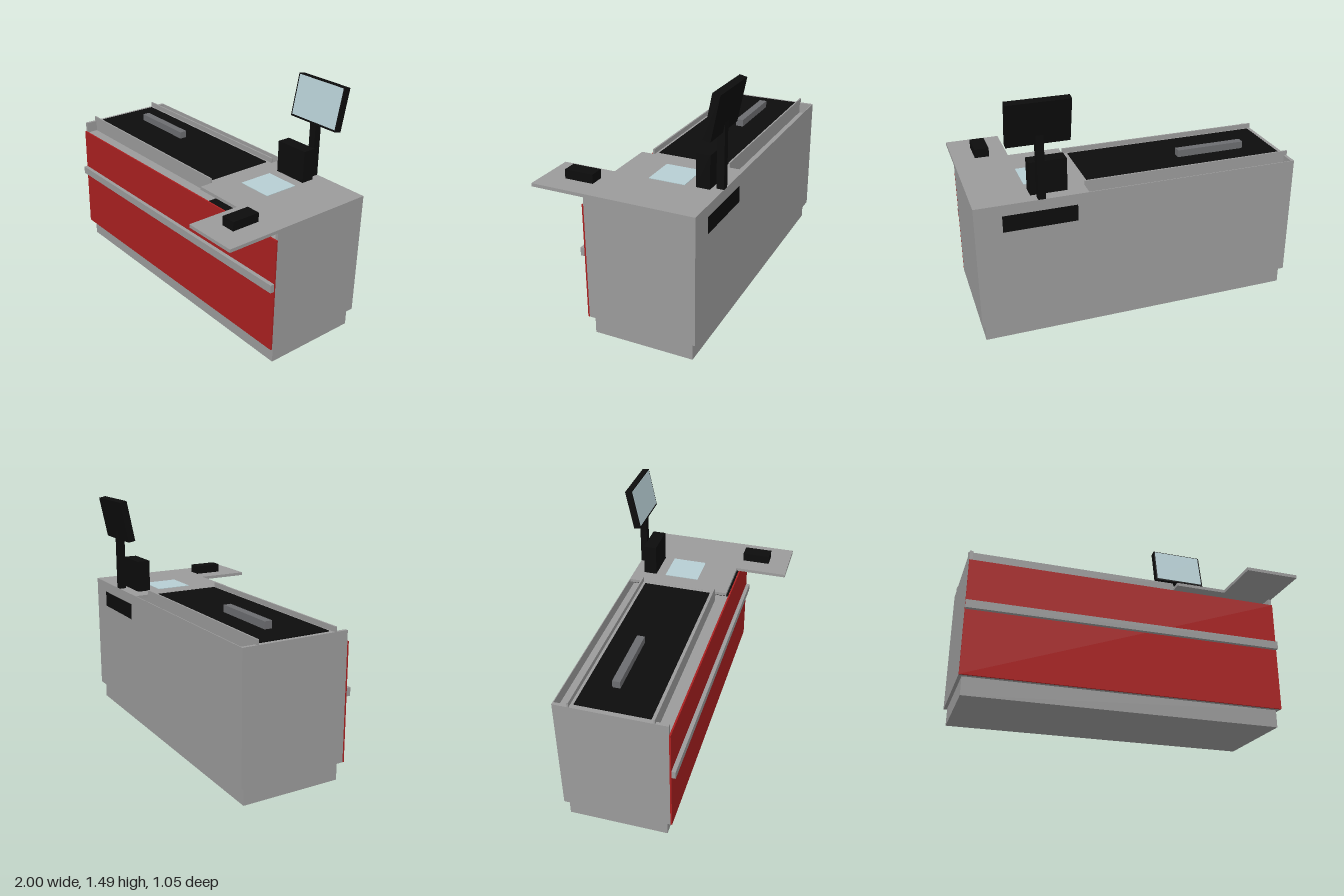
import * as THREE from 'three';

function material(name, color) {
  const m = new THREE.MeshStandardMaterial({ color });
  m.name = name;
  return m;
}

export function createModel() {
  const group = new THREE.Group();
  group.name = 'checkoutCounter';
  const grey = material('light grey', 0x9b9b9b);
  const red = material('red', 0xaa2020);
  const black = material('black', 0x0c0c0c);
  const darkGrey = material('dark grey', 0x6c6d70);
  const glass = material('pale blue glass', 0xb6ced3);

  // Box given by its lower and upper limits on each axis
  function box(name, mat, [x0, x1], [y0, y1], [z0, z1], parent = group) {
    const mesh = new THREE.Mesh(new THREE.BoxGeometry(x1 - x0, y1 - y0, z1 - z0), mat);
    mesh.position.set((x0 + x1) / 2, (y0 + y1) / 2, (z0 + z1) / 2);
    mesh.name = name;
    parent.add(mesh);
    return mesh;
  }

  // Cabinet
  box('plinth', grey, [-0.98, 0.98], [0, 0.11], [-0.455, 0.165]);
  box('cabinet', grey, [-1, 1], [0.11, 0.82], [-0.48, 0.19]);
  box('backWall', grey, [-0.98, 0.98], [0.82, 0.89], [-0.48, -0.475]);
  box('leftEndPanel', grey, [0.98, 1], [0.82, 0.87], [-0.48, 0.19]);
  box('rightEndPanel', grey, [-1, -0.98], [0.82, 0.89], [-0.48, 0.19]);
  box('beltDeck', grey, [-0.98, 0.98], [0.82, 0.889], [-0.38, 0.105]);
  box('frontPanel', red, [-1, 1], [0.11, 0.826], [0.19, 0.2]);
  box('bumperRail', grey, [-1, 1], [0.505, 0.555], [0.2, 0.225]);

  // Guide lips on both sides of the belt
  for (const z of [-0.39, 0.105]) box('beltLip', grey, [-1, 0.33], [0.82, 0.92], [z, z + 0.01]);

  // Belt and goods divider
  box('belt', black, [-0.97, 0.3], [0.887, 0.895], [-0.36, 0.085]);
  box('goodsDivider', darkGrey, [-0.78, -0.335], [0.895, 0.94], [-0.205, -0.157]);

  // Worktop with a shelf reaching out at the front
  box('worktop', grey, [0.33, 1], [0.87, 0.89], [-0.48, 0.19]);
  box('customerShelf', grey, [0.66, 1], [0.87, 0.89], [0.19, 0.525]);
  box('cardTerminal', black, [0.775, 0.865], [0.89, 0.945], [0.21, 0.39]);
  box('cashDrawer', black, [0.4, 0.84], [0.72, 0.822], [-0.481, 0.188]);

  // Scanner
  box('scannerTower', black, [0.44, 0.66], [0.89, 1.09], [-0.41, -0.325]);
  box('scannerGlass', glass, [0.44, 0.665], [0.887, 0.893], [-0.26, -0.035]);

  // Tilted monitor on its post
  box('monitorPost', black, [0.585, 0.63], [0.89, 1.28], [-0.48, -0.435]);
  const monitor = new THREE.Group();
  monitor.name = 'monitor';
  monitor.position.set(0.613, 1.356, -0.473);
  monitor.rotation.x = -0.2;
  box('monitorCase', black, [-0.182, 0.182], [-0.132, 0.132], [-0.0225, 0.0225], monitor);
  box('monitorScreen', glass, [-0.173, 0.173], [-0.12, 0.126], [0.02, 0.0245], monitor);
  group.add(monitor);

  return group;
}
